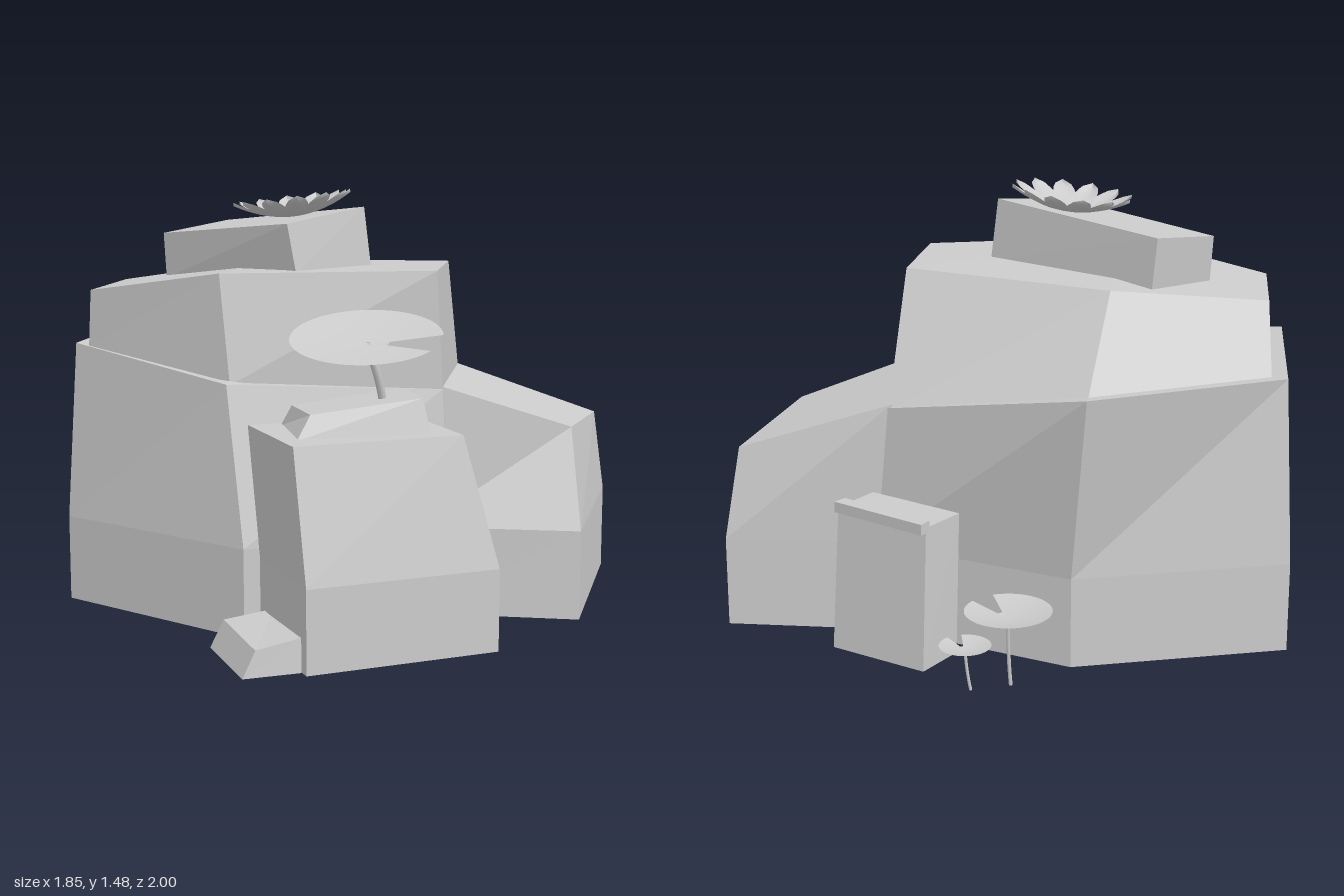
import * as THREE from 'three';

const stone = new THREE.MeshStandardMaterial({ color: 0xcccccc, flatShading: true });
const leaf = new THREE.MeshStandardMaterial({ color: 0xcccccc, side: THREE.DoubleSide });

function add(parent, name, geometry, material) {
  const mesh = new THREE.Mesh(geometry, material);
  mesh.name = name;
  parent.add(mesh);
  return mesh;
}

// Faceted stone lofted through rings of corners, bottom to top;
// each ring runs front, right, back, left.
function loft(rings) {
  const pos = [];
  const tri = (a, b, c) => pos.push(...a, ...b, ...c);
  const n = rings[0].length;
  for (let r = 0; r < rings.length - 1; r++) {
    for (let i = 0; i < n; i++) {
      const j = (i + 1) % n, lo = rings[r], hi = rings[r + 1];
      tri(lo[i], lo[j], hi[j]);
      tri(lo[i], hi[j], hi[i]);
    }
  }
  const bottom = rings[0], top = rings[rings.length - 1];
  for (let i = 1; i < n - 1; i++) {
    tri(bottom[0], bottom[i + 1], bottom[i]);
    tri(top[0], top[i], top[i + 1]);
  }
  const g = new THREE.BufferGeometry();
  g.setAttribute('position', new THREE.Float32BufferAttribute(pos, 3));
  g.computeVertexNormals();
  return g;
}
const level = (y, pts) => pts.map(([x, z]) => [x, y, z]);

// Round leaf with a notch and a slightly sunken centre
function padGeometry(radius, notchAngle, notchHalf, depth) {
  const g = new THREE.CircleGeometry(radius, 64);
  const p = g.attributes.position;
  p.setZ(0, -depth);
  for (let i = 1; i < p.count; i++) {
    const d = Math.atan2(p.getY(i), p.getX(i)) - notchAngle;
    if (Math.abs(Math.atan2(Math.sin(d), Math.cos(d))) < notchHalf) {
      p.setXYZ(i, p.getX(i) * 0.3, p.getY(i) * 0.3, -depth * 0.7);
    }
  }
  g.rotateX(-Math.PI / 2);
  g.computeVertexNormals();
  return g;
}

function lilyPad(parent, name, { centre, radius, notch, depth, tilt, foot, stem }) {
  const group = new THREE.Group();
  group.name = name;
  const pad = add(group, name + 'Leaf', padGeometry(radius, notch, 0.24, depth), leaf);
  pad.position.set(...centre);
  pad.rotation.x = tilt;
  const a = new THREE.Vector3(...foot);
  const b = new THREE.Vector3(...centre).add(new THREE.Vector3(0, -depth, 0));
  const mid = a.clone().lerp(b, 0.5).add(new THREE.Vector3(stem, 0, 0));
  const curve = new THREE.QuadraticBezierCurve3(a, mid, b);
  add(group, name + 'Stem', new THREE.TubeGeometry(curve, 8, stem, 8), leaf);
  parent.add(group);
}

// Single curled petal pointing along +x
function petalGeometry(length, halfWidth, lift) {
  const g = new THREE.PlaneGeometry(1, 2, 10, 4);
  const p = g.attributes.position;
  for (let i = 0; i < p.count; i++) {
    const t = p.getX(i) + 0.5, s = p.getY(i);
    const w = halfWidth * Math.sqrt(Math.max(0, 1 - ((t - 0.66) / (t > 0.66 ? 0.34 : 0.72)) ** 2));
    p.setXYZ(i, t * length, lift * t * t + 0.012 * s * s * t, -s * w);
  }
  g.computeVertexNormals();
  return g;
}

export function createModel() {
  const model = new THREE.Group();
  model.name = 'rockGarden';

  // Main boulder
  const foot = [[-0.23, 0.6], [0.4, 0.21], [0.41, -0.54], [-0.25, -0.775], [-0.93, -0.56], [-0.93, 0.21]];
  add(model, 'mainBoulder', loft([
    level(0.055, foot),
    level(0.35, foot),
    [[-0.3, 0.87, 0.51], [0.37, 0.82, 0.18], [0.37, 0.81, -0.52],
      [-0.3, 0.95, -0.86], [-0.9, 0.95, -0.53], [-0.9, 0.955, 0.175]],
  ]), stone);

  // Upper boulder
  add(model, 'upperBoulder', loft([
    [[-0.3, 0.86, 0.455], [0.37, 0.81, 0.17], [0.37, 0.8, -0.515],
      [-0.3, 0.945, -0.81], [-0.85, 0.945, -0.5], [-0.85, 0.945, 0.19]],
    [[-0.34, 1.22, 0.42], [0.35, 1.22, 0.2], [0.35, 1.22, -0.26],
      [-0.34, 1.205, -0.48], [-0.84, 1.14, -0.26], [-0.84, 1.14, 0.19]],
  ]), stone);

  // Side boulder
  add(model, 'sideBoulder', loft([
    level(0.05, [[0.3, 0.21], [0.84, 0.21], [0.92, -0.555], [0.35, -0.54]]),
    level(0.35, [[0.3, 0.2], [0.84, 0.19], [0.92, -0.55], [0.35, -0.535]]),
    [[0.36, 0.83, 0.17], [0.8, 0.68, 0.04], [0.88, 0.65, -0.485], [0.36, 0.82, -0.515]],
  ]), stone);

  // Front pillar, its capstone and the step at its foot
  const pillar = [[0.03, 0.94], [0.59, 0.61], [0.36, 0.24], [-0.18, 0.58]];
  add(model, 'frontPillar', loft([
    level(0.052, pillar),
    level(0.32, pillar),
    level(0.74, [[-0.02, 0.87], [0.47, 0.59], [0.255, 0.215], [-0.235, 0.5]]),
  ]), stone);
  add(model, 'pillarCap', loft([
    level(0.735, [[-0.03, 0.745], [0.37, 0.59], [0.28, 0.33], [-0.13, 0.47]]),
    [[0, 0.805, 0.67], [0.34, 0.85, 0.57], [0.26, 0.85, 0.36], [-0.09, 0.805, 0.49]],
  ]), stone);
  add(model, 'frontStep', loft([
    level(0.052, [[-0.155, 0.995], [0.01, 0.91], [-0.14, 0.6], [-0.32, 0.7]]),
    [[-0.12, 0.135, 0.97], [0.01, 0.16, 0.9], [-0.13, 0.16, 0.6], [-0.28, 0.14, 0.68]],
  ]), stone);

  // Rock resting on the summit
  add(model, 'topRock', loft([
    [[-0.11, 1.21, 0.28], [0.1, 1.21, -0.03], [-0.465, 1.19, -0.37], [-0.645, 1.16, -0.1]],
    [[-0.14, 1.375, 0.28], [0.075, 1.42, -0.03], [-0.48, 1.355, -0.37], [-0.655, 1.32, -0.105]],
  ]), stone);

  // Back pillar with a lip along its outer top edge
  add(model, 'backPillar', loft([
    level(0.065, [[0.43, -0.56], [0.52, -0.735], [0.2, -0.885], [0.12, -0.73]]),
    level(0.53, [[0.42, -0.54], [0.5, -0.695], [0.19, -0.855], [0.11, -0.71]]),
  ]), stone);
  const lip = [[0.485, -0.665], [0.51, -0.705], [0.2, -0.885], [0.18, -0.845]];
  add(model, 'backPillarLip', loft([level(0.515, lip), level(0.55, lip)]), stone);

  // Notched leaves on stems
  lilyPad(model, 'largePad', {
    centre: [0.16, 1.04, 0.56], radius: 0.242, notch: -0.22, depth: 0.025, tilt: 0.25,
    foot: [0.205, 0.83, 0.5], stem: 0.013,
  });
  lilyPad(model, 'mediumPad', {
    centre: [-0.065, 0.275, -0.865], radius: 0.137, notch: -0.8, depth: 0.03, tilt: 0,
    foot: [-0.07, 0.02, -0.85], stem: 0.006,
  });
  lilyPad(model, 'smallPad', {
    centre: [0.07, 0.155, -0.87], radius: 0.082, notch: -1, depth: 0.02, tilt: 0,
    foot: [0.055, 0, -0.86], stem: 0.005,
  });

  // Flower on the top rock
  const flower = new THREE.Group();
  flower.name = 'flower';
  const petal = petalGeometry(0.205, 0.04, 0.06);
  for (let i = 0; i < 12; i++) {
    add(flower, 'petal', petal, leaf).rotation.y = (i + 0.5) * Math.PI / 6;
  }
  flower.position.set(-0.17, 1.385, -0.035);
  flower.rotation.z = 0.12;
  model.add(flower);

  return model;
}
